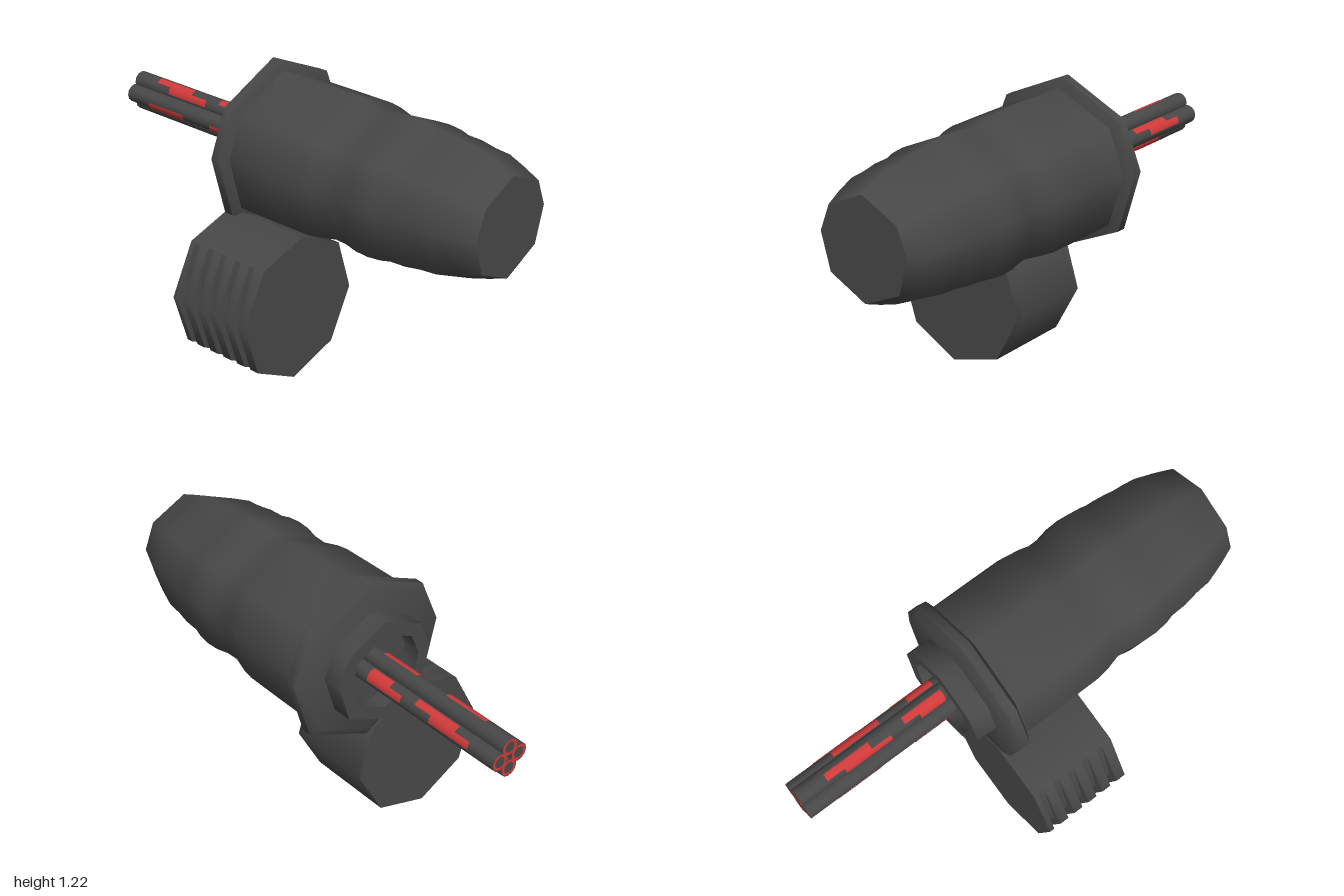
import * as THREE from 'three';
import { toCreasedNormals } from 'three/addons/utils/BufferGeometryUtils.js';

const dark = new THREE.MeshStandardMaterial({ color: 0x484848 });
dark.name = 'dark grey';
const red = new THREE.MeshStandardMaterial({ color: 0xd23a3a });
red.name = 'red';

// Closed skin through cross-sections along x; each is { x, loop: [[z, y], ...] }
function loft(sections, crease = 0.9) {
  const n = sections[0].loop.length, pos = [], idx = [];
  for (const { x, loop } of sections) for (const [z, y] of loop) pos.push(x, y, z);
  for (let i = 0; i < sections.length - 1; i++) {
    for (let j = 0; j < n; j++) {
      const a = i * n + j, b = i * n + (j + 1) % n;
      idx.push(a, a + n, b, b, a + n, b + n);
    }
  }
  // flat caps
  [sections[0], sections[sections.length - 1]].forEach(({ x, loop }, end) => {
    const c = pos.length / 3, base = end ? (sections.length - 1) * n : 0;
    const mean = k => loop.reduce((s, p) => s + p[k], 0) / n;
    pos.push(x, mean(1), mean(0));
    for (let j = 0; j < n; j++) {
      const a = base + j, b = base + (j + 1) % n;
      idx.push(c, end ? b : a, end ? a : b);
    }
  });
  const g = new THREE.BufferGeometry();
  g.setAttribute('position', new THREE.Float32BufferAttribute(pos, 3));
  g.setIndex(idx);
  return toCreasedNormals(g, crease);
}

function part(name, geometry, material, parent) {
  const m = new THREE.Mesh(geometry, material);
  m.name = name;
  parent.add(m);
  return m;
}

export function createModel() {
  const model = new THREE.Group();
  model.name = 'rotaryGun';
  const CY = 0.857, CZ = -0.105;

  // Eight-sided section of the housing, scaled by radius
  const unit = [[0, 1], [-0.78, 0.64], [-1, 0.1], [-0.8, -0.62], [0, -1], [0.8, -0.62], [1, 0.1], [0.78, 0.64]];
  const turned = profile => loft(profile.map(([x, r]) => ({
    x, loop: unit.map(([z, y]) => [CZ + z * r, CY + y * r]),
  })));

  // Housing with gentle ribs, tapering to the end
  part('housing', turned([
    [-0.16, 0.323], [0.05, 0.323], [0.22, 0.322], [0.27, 0.315], [0.34, 0.296],
    [0.40, 0.298], [0.46, 0.31], [0.52, 0.313], [0.58, 0.307], [0.62, 0.296],
    [0.69, 0.293], [0.76, 0.281], [0.83, 0.275], [0.92, 0.245], [1, 0.213],
  ]), dark, model);

  // Flange around the muzzle end
  part('flange', turned([[-0.22, 0.33], [-0.2, 0.366], [-0.16, 0.366], [-0.14, 0.32]]), dark, model);

  // Hollow collar that the barrels come out of
  part('barrelCollar', turned([[-0.23, 0.17], [-0.31, 0.17], [-0.31, 0.23], [-0.21, 0.23]]), dark, model);

  // Grooved drum under the housing
  const drum = [[0.14, 0.628], [-0.083, 0.52], [-0.155, 0.29], [-0.042, 0.076],
    [0.19, 0.002], [0.402, 0.115], [0.475, 0.345], [0.365, 0.56]];
  const dented = drum.map(([z, y], j) => (j === 5 || j === 6)
    ? [z + (0.16 - z) * 0.13, y + (0.315 - y) * 0.13] : [z, y]);
  const sections = [{ x: -0.22, loop: drum }];
  for (let i = 0; i < 5; i++) {
    const x = -0.18 + i * 0.075;
    sections.push({ x: x - 0.017, loop: drum }, { x: x - 0.012, loop: dented },
      { x: x + 0.012, loop: dented }, { x: x + 0.017, loop: drum });
  }
  sections.push({ x: 0.18, loop: drum });
  part('ammoDrum', loft(sections), dark, model);

  // Four barrels in a diamond, each with stepped red marks
  const marks = [[-0.87, -0.66, 0], [-0.5, -0.31, 0], [-0.79, -0.57, 1], [-0.43, -0.31, 1]];
  const R = 0.039, RING = 0.047, SIDES = 12;
  for (let k = 0; k < 4; k++) {
    const barrel = new THREE.Group();
    barrel.name = 'barrel' + (k + 1);
    // local frame: +y points away from the cluster centre, +z follows round it
    const tube = part('barrelTube', new THREE.CylinderGeometry(R, R, 0.77, SIDES), dark, barrel);
    tube.rotation.z = Math.PI / 2;
    tube.position.set(-0.615, RING, 0);
    for (const [x0, x1, step] of marks) {
      const width = Math.PI / 4, mid = (x0 + x1) / 2;
      const g = new THREE.CylinderGeometry(R + 0.001, R + 0.001, x1 - x0, 3, 1, true, -width / 2, width);
      g.rotateZ(Math.PI / 2);
      // the strip starts facing +z; swing it round to the outer side
      g.rotateX(-Math.PI / 2 + width * (step + 0.5));
      const mark = part('redMark', g, red, barrel);
      mark.position.set(mid, RING, 0);
    }
    // red ring at the tip
    const tip = part('redTip', new THREE.RingGeometry(R * 0.6, R * 0.9, SIDES), red, barrel);
    tip.rotation.y = -Math.PI / 2;
    tip.position.set(-1.0005, RING, 0);
    barrel.position.set(0, 0.86, -0.115);
    barrel.rotation.x = k * Math.PI / 2;
    model.add(barrel);
  }
  return model;
}
